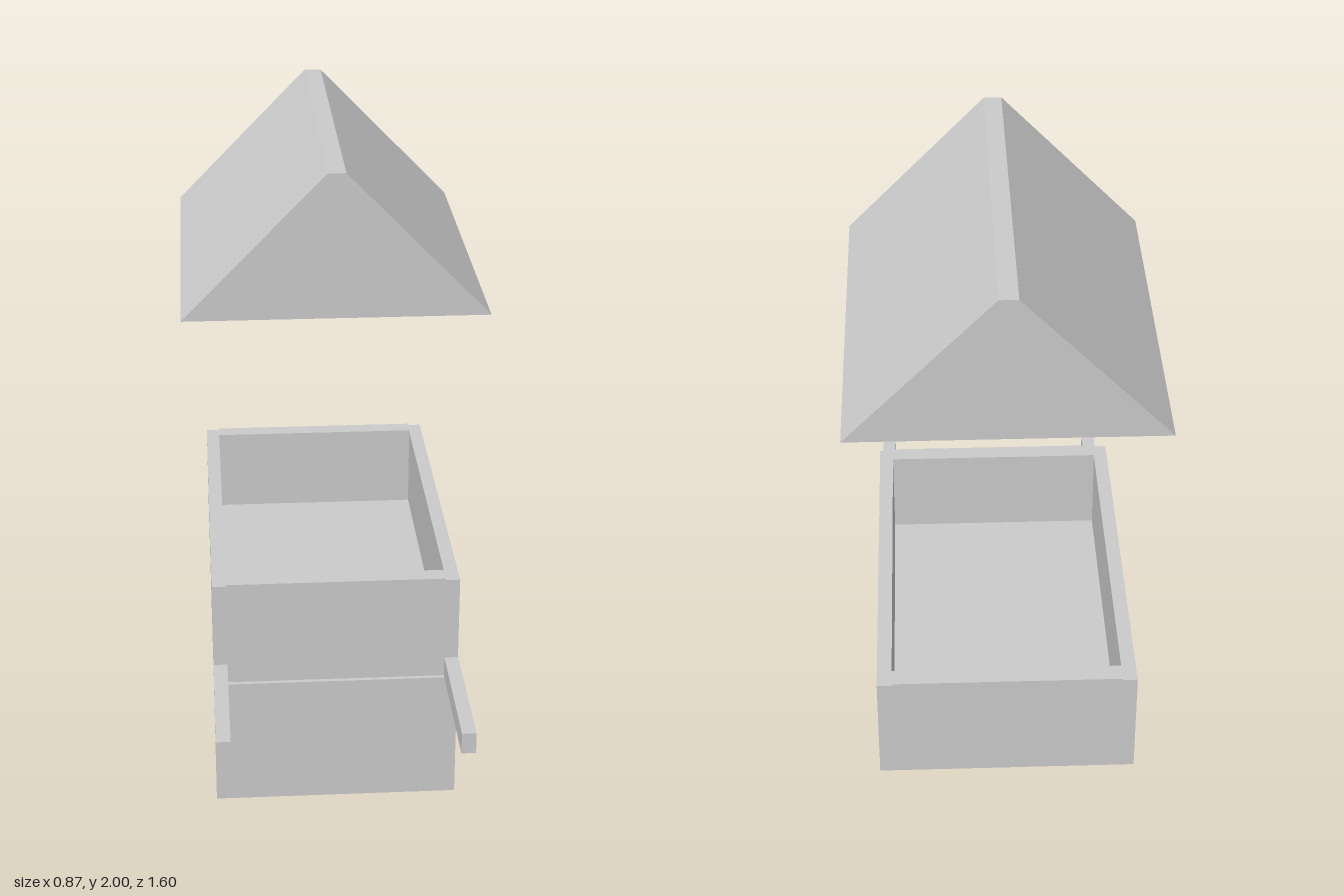
import * as THREE from 'three';

const material = new THREE.MeshStandardMaterial({ color: 0xcccccc, flatShading: true });

// Box given by its minimum and maximum corners
function block(name, [x0, y0, z0], [x1, y1, z1]) {
  const mesh = new THREE.Mesh(new THREE.BoxGeometry(x1 - x0, y1 - y0, z1 - z0), material);
  mesh.position.set((x0 + x1) / 2, (y0 + y1) / 2, (z0 + z1) / 2);
  mesh.name = name;
  return mesh;
}

export function createModel() {
  const model = new THREE.Group();
  model.name = 'trayWithRoof';
  const W = 0.37, inner = 0.328; // outer and inner half widths
  const back = -0.8, front = 0.36;
  const bottom = 0.415, floorTop = 0.48, end = 0.057;

  // Open tray: floor, long sides, and slightly taller ends between them
  const tray = new THREE.Group();
  tray.name = 'tray';
  tray.add(block('floor', [-W, bottom, back], [W, floorTop, front]));
  tray.add(block('leftSide', [inner, floorTop, back], [W, 0.741, front]));
  tray.add(block('rightSide', [-W, floorTop, back], [-inner, 0.741, front]));
  tray.add(block('frontEnd', [-inner, floorTop, front - end], [inner, 0.746, front]));
  tray.add(block('backEnd', [-inner, floorTop, back], [inner, 0.746, back + end]));
  model.add(tray);

  // Handles reaching forward
  model.add(block('leftHandle', [inner, bottom, 0.366], [W, floorTop, 0.8]));
  model.add(block('rightHandle', [-W, bottom, 0.366], [-inner, floorTop, 0.8]));

  // Upright support panel under the front end
  model.add(block('supportPanel', [-W, 0, front - 0.06], [W, 0.407, front]));

  // Raised solid roof with a narrow flat ridge
  const profile = new THREE.Shape([
    new THREE.Vector2(-0.437, 1.58), new THREE.Vector2(0.437, 1.58),
    new THREE.Vector2(0.026, 2), new THREE.Vector2(-0.026, 2),
  ]);
  const roof = new THREE.Mesh(
    new THREE.ExtrudeGeometry(profile, { depth: front - back, bevelEnabled: false }), material);
  roof.position.z = back;
  roof.name = 'roof';
  model.add(roof);

  return model;
}
